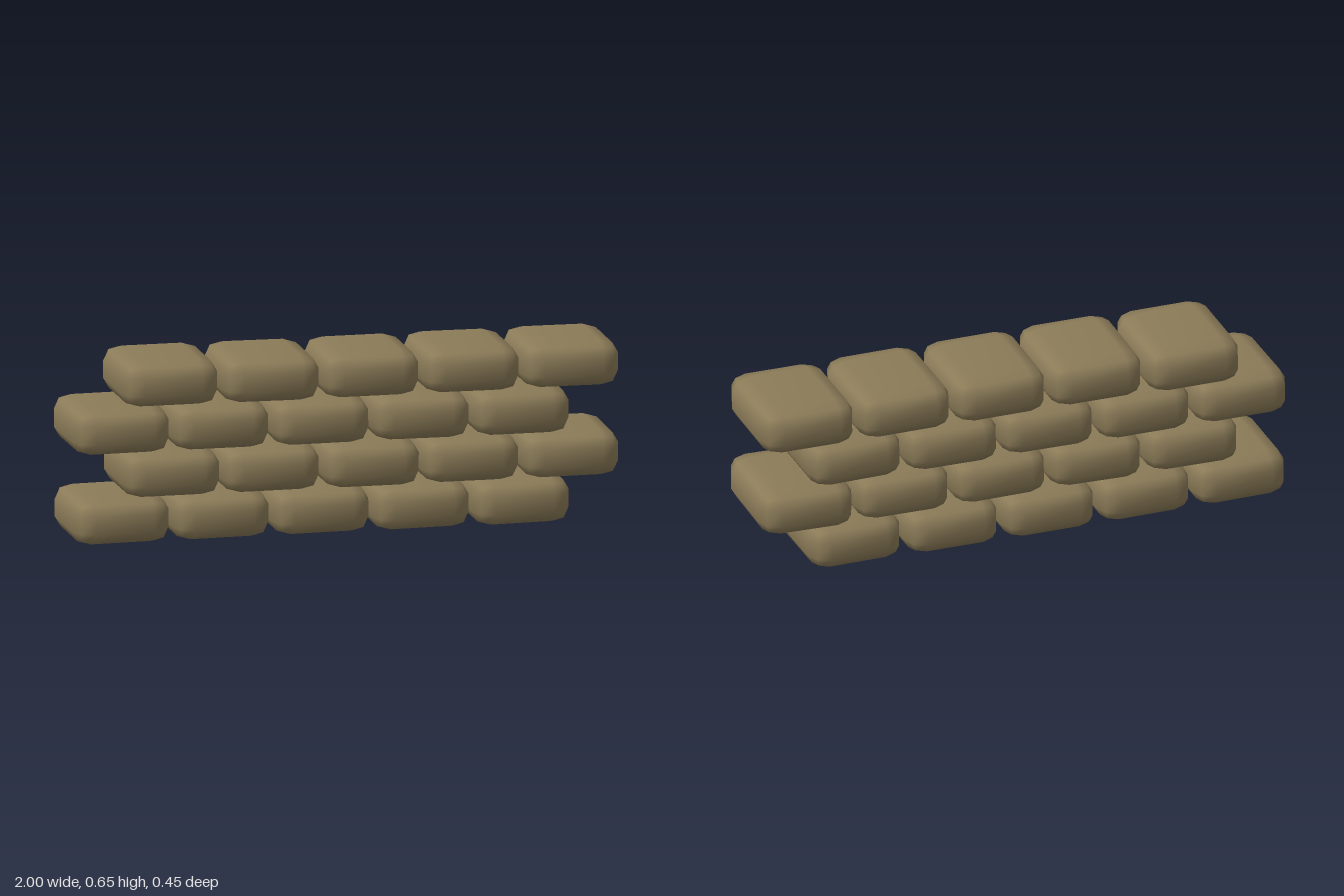
import * as THREE from 'three';
import { RoundedBoxGeometry } from 'three/addons/geometries/RoundedBoxGeometry.js';
import { mergeVertices } from 'three/addons/utils/BufferGeometryUtils.js';

const BAG = { w: 0.355, h: 0.165, d: 0.428 };      // size of one bag
const EDGE = { x: 0.07, y: 0.05, z: 0.082 };       // rounding along each axis
const PITCH_X = 0.3645, PITCH_Y = 0.1627;

// Small seeded noise in -1..1
function makeNoise(seed) {
  let s = seed;
  return () => {
    s = (s * 16807) % 2147483647;
    return (s / 2147483647) * 2 - 1;
  };
}

// Low-poly pillow: box with one-step rounded edges, all normals blended
function bagGeometry(noise) {
  let g = new RoundedBoxGeometry(BAG.w / EDGE.x, BAG.h / EDGE.y, BAG.d / EDGE.z, 1, 1);
  g.scale(EDGE.x, EDGE.y, EDGE.z);
  g.deleteAttribute('uv');
  g.deleteAttribute('normal');
  g.clearGroups();
  g = mergeVertices(g, 1e-4);

  // Slight slump: skew the plan and vary the depth of each bag
  const skew = noise() * 0.025, taper = noise() * 0.03, depth = 1 + noise() * 0.015;
  const p = g.attributes.position;
  for (let i = 0; i < p.count; i++) {
    const x = p.getX(i), z = p.getZ(i);
    p.setX(i, x * (1 + taper * z));
    p.setZ(i, z * depth + x * skew);
  }
  g.computeVertexNormals();
  return g;
}

export function createModel() {
  const wall = new THREE.Group();
  wall.name = 'sandbagWall';
  const burlap = new THREE.MeshStandardMaterial({ color: 0x8b7b58 });
  burlap.name = 'burlap';
  const noise = makeNoise(4127);

  // Four courses of five bags, every other course shifted half a bag
  for (let row = 0; row < 4; row++) {
    const course = new THREE.Group();
    course.name = `course${row + 1}`;
    course.position.y = BAG.h / 2 + 0.001 + row * PITCH_Y;
    for (let i = 0; i < 5; i++) {
      const bag = new THREE.Mesh(bagGeometry(noise), burlap);
      bag.name = 'sandbag';
      bag.position.x = -0.821 + (i + (row % 2) / 2) * PITCH_X;
      bag.position.z = noise() * 0.006;
      bag.rotation.y = noise() * 0.02;
      bag.rotation.z = noise() * 0.008;
      course.add(bag);
    }
    wall.add(course);
  }
  // The first bag of the top course sits a little further back
  wall.children[3].children[0].position.z = -0.015;
  return wall;
}
